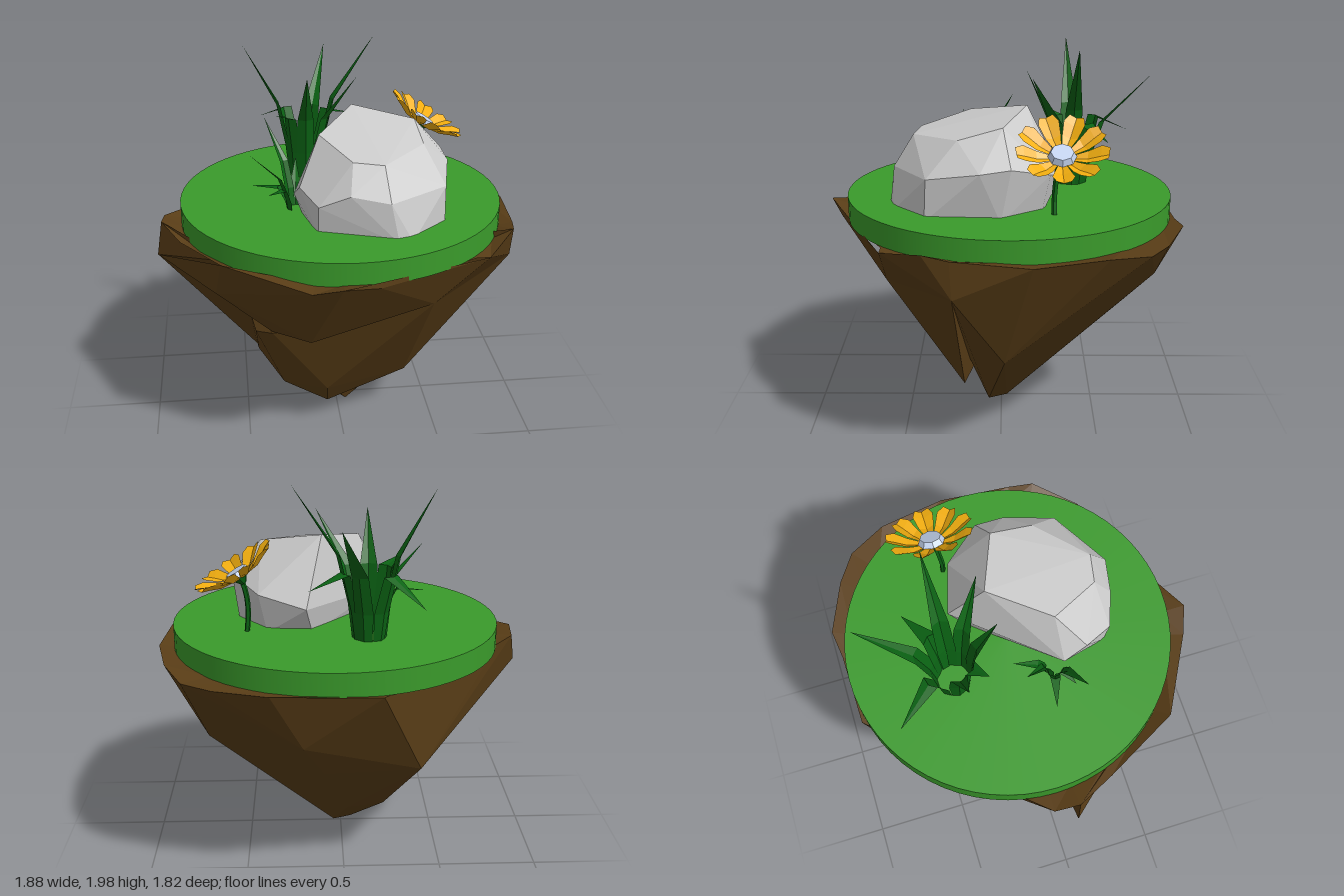
import * as THREE from 'three';
import { ConvexGeometry } from 'three/addons/geometries/ConvexGeometry.js';

const paint = (color, side = THREE.FrontSide) =>
  new THREE.MeshStandardMaterial({ color, flatShading: true, side });
const V = (x, y, z) => new THREE.Vector3(x, y, z);

const earthMat = paint(0x5a3e17);
const grassMat = paint(0x3a9a2b);
const leafMat = paint(0x0b6414, THREE.DoubleSide);
const petalMat = paint(0xf5b010, THREE.DoubleSide);
const stoneMat = paint(0xcccccc);
const pollenMat = paint(0xc4d4f0);

function mesh(name, geometry, material) {
  const m = new THREE.Mesh(geometry, material);
  m.name = name;
  return m;
}

// Faceted solid spanned by a few corner points
function hull(name, corners, material) {
  return mesh(name, new ConvexGeometry(corners.map((c) => V(...c))), material);
}

function fromTriangles(points) {
  const g = new THREE.BufferGeometry().setFromPoints(points);
  g.computeVertexNormals();
  return g;
}

// Hull without its upward faces, leaving the top open
function openHull(name, corners) {
  const p = new ConvexGeometry(corners.map((c) => V(...c))).attributes.position;
  const kept = [];
  for (let i = 0; i < p.count; i += 3) {
    const t = [0, 1, 2].map((k) => V().fromBufferAttribute(p, i + k));
    if (new THREE.Triangle(...t).getNormal(V()).y < 0.1) kept.push(...t);
  }
  return mesh(name, fromTriangles(kept), earthMat);
}

// Uneven lip sloping from the rim down to the underside of the turf
function lip(rim, cx, cz, radius) {
  const outer = rim.map((c) => V(...c));
  const inner = outer.map((o) => {
    const d = V(o.x - cx, 0, o.z - cz);
    return d.setLength(Math.min(radius, d.length() - 0.02)).add(V(cx, 1.1, cz));
  });
  const tris = [];
  outer.forEach((o, i) => {
    const j = (i + 1) % outer.length;
    tris.push(o, outer[j], inner[j], o, inner[j], inner[i]);
  });
  return mesh('earthLip', fromTriangles(tris), earthMat);
}

// Creased strip along a path: three points per station, centre line shifted by crease
function ribbon(path, widths, side, crease) {
  const g = new THREE.PlaneGeometry(1, 1, 2, path.length - 1);
  const p = g.attributes.position;
  path.forEach((c, i) => {
    for (let k = -1; k <= 1; k++) {
      const q = c.clone().addScaledVector(side, (k * widths[i]) / 2);
      if (k === 0) q.addScaledVector(crease, widths[i] * 0.2);
      p.setXYZ(i * 3 + k + 1, q.x, q.y, q.z);
    }
  });
  g.computeVertexNormals();
  return g;
}

// Tuft of blades that rise at least by lift, then lean or droop out to their tips
function tuft(name, cx, cz, spread, width, lift, tips) {
  const group = new THREE.Group();
  group.name = name;
  for (const [x, y, z] of tips) {
    const out = V(x - cx, 0, z - cz);
    const reach = out.length();
    out.normalize();
    const side = V(-out.z, 0, out.x);
    const knee = Math.max((y - 1.2) * 0.56, lift);
    const at = (r, h) => V(cx, 1.2 + h, cz).addScaledVector(out, r);
    const bend = reach - spread;
    const path = [
      at(spread, 0), at(spread + bend * 0.06, knee * 0.45),
      at(spread + bend * 0.25, knee), at(reach, y - 1.2),
    ];
    const widths = [0.7, 0.95, 0.85, 0].map((w) => w * width);
    group.add(mesh('blade', ribbon(path, widths, side, out), leafMat));
  }
  return group;
}

function flower() {
  const group = new THREE.Group();
  group.name = 'flower';
  const stem = new THREE.CatmullRomCurve3([
    V(0.48, 1.2, -0.26), V(0.47, 1.32, -0.26), V(0.48, 1.43, -0.27), V(0.51, 1.52, -0.28),
  ]);
  group.add(mesh('stem', new THREE.TubeGeometry(stem, 8, 0.014, 5), leafMat));

  // Cupped head tilted down towards +x
  const head = new THREE.Group();
  head.name = 'flowerHead';
  head.position.set(0.51, 1.52, -0.29);
  head.rotation.z = -0.55;
  const count = 9;
  for (let i = 0; i < count; i++) {
    const a = (i / count) * Math.PI * 2;
    const out = V(Math.cos(a), 0, Math.sin(a));
    const at = (r, y) => out.clone().multiplyScalar(r).setY(y);
    const path = [at(0.04, -0.01), at(0.12, 0.015), at(0.18, 0.05), at(0.22, 0.06)];
    const side = V(-out.z, 0, out.x);
    head.add(mesh('petal', ribbon(path, [0.03, 0.08, 0.105, 0.07], side, V(0, -1, 0)), petalMat));
  }
  const centre = mesh('flowerCentre', new THREE.CylinderGeometry(0.055, 0.07, 0.03, 8), pollenMat);
  centre.position.y = 0.01;
  const calyx = mesh('calyx', new THREE.CylinderGeometry(0.045, 0.014, 0.04, 6), leafMat);
  calyx.position.y = -0.03;
  head.add(centre, calyx);
  group.add(head);
  return group;
}

export function createModel() {
  const model = new THREE.Group();
  model.name = 'floatingIsland';

  // Earth: main body, overhanging front ledge, the tooth below it and the lip on top
  const frontRim = [
    [-0.91, 1.14, 0.05], [-0.81, 1.11, 0.25], [-0.61, 1.16, 0.63], [-0.2, 1.1, 0.86],
    [-0.06, 1.14, 0.91], [0.12, 1.1, 0.83], [0.63, 1.1, 0.57], [0.7, 1.1, 0.57],
    [0.87, 1.15, 0.36],
  ];
  const backRim = [
    [0.9, 1.13, 0.23], [0.94, 1.11, -0.15], [0.87, 1.13, -0.5], [0.77, 1.11, -0.7],
    [0.62, 1.11, -0.8], [0.35, 1.12, -0.91], [0.2, 1.11, -0.89], [-0.17, 1.1, -0.88],
    [-0.81, 1.11, -0.18], [-0.9, 1.12, -0.08],
  ];
  const earth = new THREE.Group();
  earth.name = 'earth';
  earth.add(
    openHull('earthBody', [
      frontRim[0], frontRim.at(-1), ...backRim, [-0.55, 1.11, 0.5],
      [-0.94, 0.95, 0.04], [0.9, 0.94, 0.22], [0.2, 0.81, -0.8], [0.55, 0.8, -0.5],
      [0.1, 0.6, -0.63], [-0.38, 0.6, -0.59], [0.72, 0.54, -0.02], [-0.45, 0.64, 0.25],
      [-0.43, 0.32, -0.04], [-0.22, 0.23, -0.24], [-0.03, 0.25, -0.32],
      [-0.05, 0.09, -0.12], [0.05, 0, 0.07], [0.04, 0.02, -0.03],
    ]),
    openHull('frontLedge', [
      ...frontRim,
      [-0.94, 0.95, 0.04], [-0.64, 0.96, 0.53], [-0.37, 0.7, 0.48], [-0.19, 0.73, 0.66],
      [0.43, 0.86, 0.57], [0.9, 0.94, 0.22], [0.4, 0.95, 0], [-0.5, 0.8, 0],
    ]),
    hull('lowerTooth', [
      [-0.45, 0.64, 0.36], [-0.37, 0.69, 0.48], [0.43, 0.86, 0.57], [0.9, 0.94, 0.22],
      [-0.08, 0.25, 0.34], [-0.07, 0.11, 0.24], [0.36, 0.25, 0.19],
      [-0.3, 0.2, 0.17], [-0.43, 0.32, 0], [-0.5, 0.7, 0.05], [0, 0.5, 0.14],
    ], earthMat),
    lip([...frontRim, ...backRim], 0.03, -0.04, 0.82),
  );
  model.add(earth);

  // Turf disc
  const turf = mesh('turf', new THREE.CylinderGeometry(0.84, 0.84, 0.12, 64), grassMat.clone());
  turf.material.flatShading = false;
  turf.position.set(0.03, 1.16, -0.04);
  model.add(turf);

  // Boulder
  model.add(hull('boulder', [
    [0.1, 1.68, -0.13], [0.41, 1.63, -0.01], [0.42, 1.57, 0.21], [0.19, 1.55, 0.44],
    [0.04, 1.56, 0.41], [-0.1, 1.62, 0.16],
    [0.21, 1.39, 0.54], [0.02, 1.42, 0.5], [-0.13, 1.35, 0.45], [-0.21, 1.4, 0.3],
    [-0.23, 1.32, 0.18], [0.51, 1.4, 0.36], [0.57, 1.44, 0.1], [0.56, 1.46, -0.05],
    [0.42, 1.4, -0.24], [0.18, 1.34, -0.31],
    [-0.13, 1.19, 0.43], [0.25, 1.19, 0.56], [0.32, 1.19, 0.54], [0.51, 1.19, 0.37],
    [0.53, 1.19, 0], [0.38, 1.19, -0.2], [0.15, 1.19, -0.22], [-0.18, 1.19, 0.2],
  ], stoneMat));

  // Plants
  model.add(tuft('tallGrass', -0.13, -0.37, 0.07, 0.1, 0.36, [
    [0.25, 1.98, -0.38], [-0.45, 1.95, -0.35], [0.02, 1.84, -0.78], [0.13, 1.82, -0.155],
    [-0.13, 1.82, -0.13], [-0.37, 1.45, -0.69], [0.17, 1.5, -0.54], [-0.29, 1.6, -0.22],
  ]));
  model.add(tuft('shortGrass', -0.22, 0.13, 0.03, 0.06, 0.13, [
    [-0.2, 1.42, -0.08], [-0.36, 1.65, -0.06], [-0.45, 1.33, 0.07], [-0.45, 1.55, 0.22],
    [-0.36, 1.32, 0.2],
  ]));
  model.add(flower());
  return model;
}
